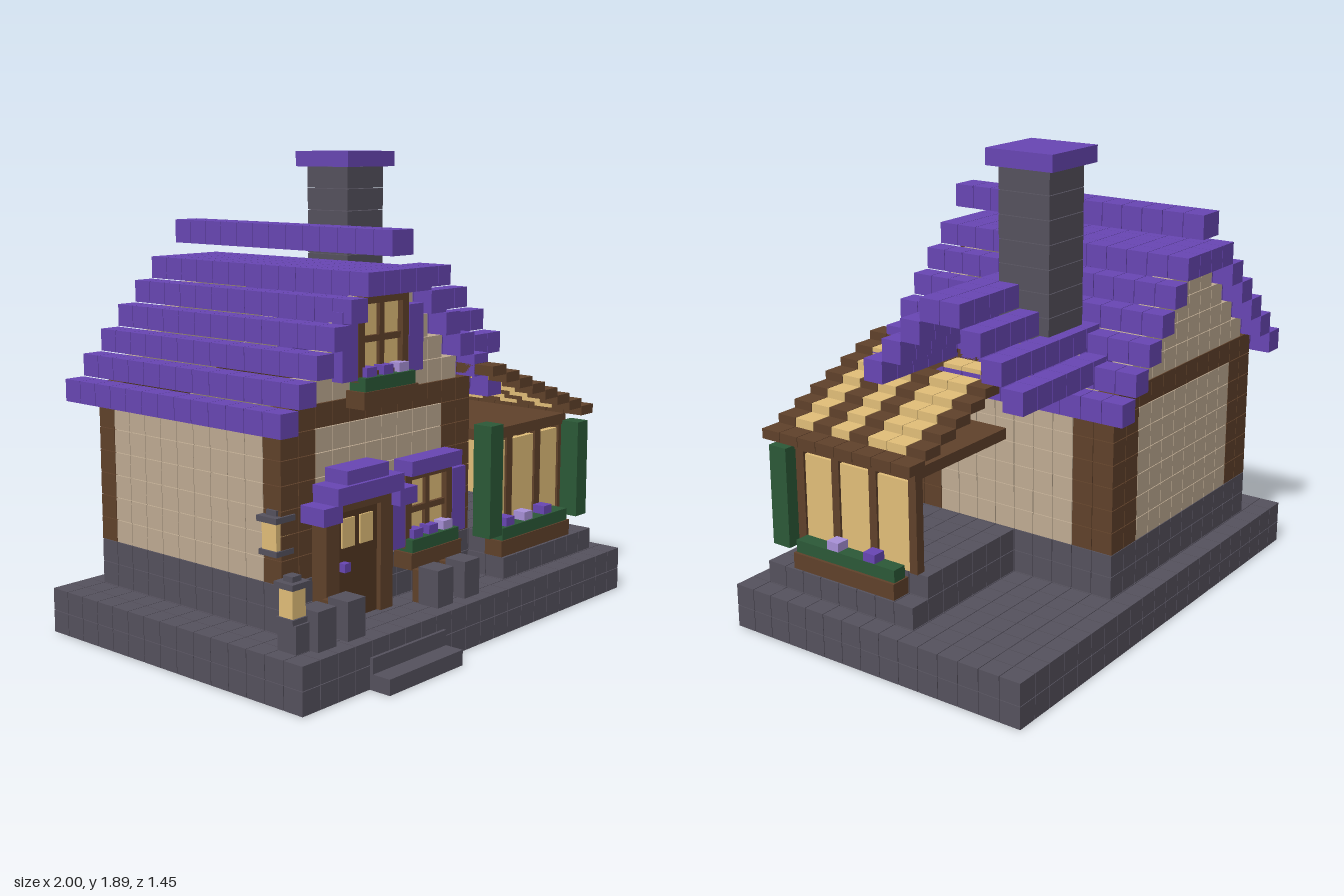
import * as THREE from 'three';
import { mergeGeometries } from 'three/addons/utils/BufferGeometryUtils.js';

const U = 1 / 11; // block size
const mat = (name, color) => {
  const m = new THREE.MeshStandardMaterial({ color });
  m.name = name;
  return m;
};

export function createModel() {
  const purple = mat('purple tile', 0x6947b5);
  const stone = mat('dark stone', 0x56525e);
  const timber = mat('brown timber', 0x61422b);
  const doorWood = mat('door wood', 0x543722);
  const plaster = mat('plaster', 0xc1ad94);
  const glow = mat('warm glass', 0xe4c07a);
  const green = mat('green paint', 0x2c5a38);
  const lilac = mat('lilac petal', 0xaa92da);

  const model = new THREE.Group();
  model.name = 'cottage';

  // Single box from its limits
  const boxGeo = (x0, x1, y0, y1, z0, z1) =>
    new THREE.BoxGeometry(x1 - x0, y1 - y0, z1 - z0)
      .translate((x0 + x1) / 2, (y0 + y1) / 2, (z0 + z1) / 2);
  const add = (name, m, geos) => {
    const mesh = new THREE.Mesh(geos.length > 1 ? mergeGeometries(geos) : geos[0], m);
    mesh.name = name;
    model.add(mesh);
  };
  const box = (name, m, ...b) => add(name, m, [boxGeo(...b)]);

  // Block rows in grid cells [i0,i1,j0,j1,k0,k1], with fine seams
  const g = 0.0014;
  const blocks = (name, m, runs) => {
    const geos = [];
    for (const [i0, i1, j0, j1, k0, k1] of runs)
      for (let i = i0; i < i1; i++)
        for (let j = j0; j < j1; j++)
          for (let k = k0; k < k1; k++) {
            const x = (i - 11) * U, y = j * U, z = (k - 8) * U;
            geos.push(boxGeo(x + g, x + U - g, y + g, y + U - g, z + g, z + U - g));
          }
    add(name, m, geos);
  };
  // One-block-wide rectangular ring of runs
  const ring = (i0, i1, j0, j1, k0, k1) => [
    [i0, i1, j0, j1, k0, k0 + 1], [i0, i1, j0, j1, k1 - 1, k1],
    [i0, i0 + 1, j0, j1, k0 + 1, k1 - 1], [i1 - 1, i1, j0, j1, k0 + 1, k1 - 1]];

  // Ground slab on a hollow plinth, steps and foundations
  blocks('groundSlab', stone, [[0, 22, 1, 2, 0, 15]]);
  blocks('plinthRim', stone, ring(0, 22, 0, 1, 0, 15));
  blocks('sunroomFooting', stone, ring(14, 21, 0, 1, 6, 14));
  box('lowerStep', stone, -0.65, -0.23, 0, 0.06, 0.6, 0.727);
  box('upperStep', stone, -0.65, -0.23, 0.06, 0.12, 0.6, 0.648);
  blocks('houseFoundation', stone, ring(2, 14, 2, 4, 1, 12));
  blocks('sunroomFoundation', stone, [[14, 21, 2, 3, 6, 14], [14, 20, 3, 4, 6, 13]]);

  // Walls: timber corners and beams, plaster infill, stepped gables
  blocks('cornerPosts', timber, [
    [2, 4, 4, 10, 1, 2], [12, 14, 4, 10, 1, 2], [2, 4, 4, 10, 11, 12], [12, 14, 4, 10, 11, 12],
    [13, 14, 4, 10, 2, 3], [13, 14, 4, 10, 10, 11]]);
  blocks('gableBeams', timber, [[2, 14, 10, 11, 1, 2], [2, 14, 10, 11, 11, 12]]);
  blocks('plasterWalls', plaster, [[4, 12, 4, 10, 1, 2], [4, 12, 4, 10, 11, 12],
    [2, 3, 4, 10, 2, 11], [13, 14, 4, 10, 3, 10]]);
  const gables = [];
  for (let r = 1; r < 6; r++)
    for (const k of [1, 11]) gables.push([2 + r, 14 - r, 10 + r, 11 + r, k, k + 1]);
  blocks('gableWalls', plaster, gables);

  // Main roof: stepped rows with a raised ridge
  const roof = [];
  for (let r = 0; r < 6; r++)
    for (const i of [1 + r, 14 - r]) roof.push([i, i + 1, 10.12 + r, 11.1 + r, 0, 13]);
  roof.push([7, 9, 15.12, 16.1, 0, 13]);
  blocks('mainRoof', purple, roof);
  const ridge = [];
  for (let k = 0; k < 13; k++)
    ridge.push(boxGeo(-0.32, -0.2, 1.515, 1.61, (k - 8) * U + g, (k - 7) * U - g));
  add('roofRidge', purple, ridge);

  // Side roof across the main one
  const sideRoof = [];
  for (let r = 0; r < 4; r++)
    for (const k of [2 + r, 9 - r]) sideRoof.push([12, 19, 11.33 + r, 12.3 + r, k, k + 1]);
  blocks('sideRoof', purple, sideRoof);

  // Chimney
  const courses = [];
  for (let n = 0; n < 7; n++)
    courses.push(boxGeo(0.14, 0.365, 1.19 + n * U + g, 1.19 + (n + 1) * U - g, -0.405, -0.18));
  add('chimney', stone, courses);
  box('chimneyCap', purple, 0.105, 0.4, 1.826, 1.89, -0.44, -0.145);

  // Sunroom roof: thin stepped slats, alternately timber and glass
  const slats = [], lights = [];
  for (let n = 0; n < 8; n++)
    for (let k = 6; k < 14; k++) {
      const x = (2 + n) * U, y = 1.022 - n * 0.0345, z = (k - 8) * U;
      const lit = n > 0 && n < 7 && [7, 8, 10, 12].includes(k);
      (lit ? lights : slats).push(boxGeo(x + g, x + U - g, y, y + 0.04, z + g, z + U - g));
    }
  add('sunroomRoofSlats', timber, slats);
  add('sunroomRoofLights', glow, lights);

  // Sunroom: glass on the front and outer side, open back, flat timber ceiling
  add('sunroomGlass', glow, [
    boxGeo(0.273, 0.82, 0.364, 0.72, 0.42, 0.44),
    boxGeo(0.80, 0.82, 0.364, 0.72, -0.115, 0.42)]);
  const frame = [boxGeo(0.273, 0.835, 0.735, 0.78, -0.145, 0.455)];
  for (const x of [0.435, 0.635, 0.81]) frame.push(boxGeo(x - 0.02, x + 0.02, 0.364, 0.735, 0.41, 0.45));
  for (const z of [0.25, 0.065, -0.125]) frame.push(boxGeo(0.79, 0.83, 0.364, 0.735, z - 0.018, z + 0.018));
  add('sunroomFrame', timber, frame);
  box('tallGreenPost', green, 0.19, 0.272, 0.364, 0.82, 0.45, 0.535);
  box('shortGreenPost', green, 0.81, 0.885, 0.34, 0.75, 0.45, 0.535);

  // Planter: timber box, green rim and flowers given as [fraction along, colour]
  const planter = (name, x0, x1, y, z0, z1, flowers, alongZ) => {
    box(name + 'Box', timber, x0, x1, y - 0.065, y, z0, z1);
    const s = 0.012, top = y + 0.05;
    box(name + 'Rim', green, x0 + s, x1 - s, y, top, z0 + s / 2, z1 - s / 2);
    for (const [t, m] of flowers) {
      const x = alongZ ? (x0 + x1) / 2 : x0 + (x1 - x0) * t;
      const z = alongZ ? z0 + (z1 - z0) * t : (z0 + z1) / 2;
      box(name + 'Flower', m, x - 0.028, x + 0.028, top, top + 0.035, z - 0.028, z + 0.028);
    }
  };
  planter('sunroomFrontPlanter', 0.265, 0.75, 0.34, 0.456, 0.54,
    [[0.16, purple], [0.42, lilac], [0.71, purple]], false);
  planter('sunroomSidePlanter', 0.82, 0.905, 0.34, -0.09, 0.41, [[0.26, purple], [0.62, lilac]], true);

  // Four-pane window with shutters and planter
  const W = 0.364; // front wall plane
  const gridWindow = (name, cx, y0, y1, shutterTop, planterY) => {
    const h = 0.143, b = 0.035, ym = (y0 + y1) / 2;
    box(name + 'Glass', glow, cx - h + 0.01, cx + h - 0.01, y0 + 0.01, y1 - 0.01, W, W + 0.025);
    const bars = [boxGeo(cx - h, cx + h, y0, y0 + b, W, W + 0.05), boxGeo(cx - h, cx + h, y1 - b + 0.01, y1, W, W + 0.05),
      boxGeo(cx - 0.013, cx + 0.013, y0, y1, W, W + 0.04), boxGeo(cx - h, cx + h, ym - 0.012, ym + 0.012, W, W + 0.04)];
    for (const s of [-1, 1]) {
      const a = cx + s * h, c = a - s * b;
      bars.push(boxGeo(Math.min(a, c), Math.max(a, c), y0, y1, W, W + 0.05));
      const m = cx + s * (h + 0.045);
      box(name + 'Shutter', purple, m - 0.042, m + 0.042, y0 + 0.01, shutterTop, W, W + 0.05);
    }
    add(name + 'Frame', timber, bars);
    planter(name + 'Planter', cx - 0.155, cx + 0.155, planterY, W, W + 0.09,
      [[0.2, purple], [0.5, purple], [0.79, lilac]], false);
  };
  gridWindow('lowerWindow', -0.045, 0.38, 0.67, 0.65, 0.37);
  gridWindow('upperWindow', -0.32, 1.06, 1.37, 1.325, 1.03);
  box('lowerWindowLintel', purple, -0.2, 0.11, 0.672, 0.73, W, W + 0.09);

  // Front door with frame, panes, knob and stepped canopy
  add('doorFrame', timber, [boxGeo(-0.66, -0.59, 0.182, 0.64, W, 0.435),
    boxGeo(-0.36, -0.29, 0.182, 0.64, W, 0.435), boxGeo(-0.59, -0.36, 0.6, 0.64, W, 0.435)]);
  box('door', doorWood, -0.59, -0.36, 0.182, 0.6, W, 0.415);
  for (const x of [-0.56, -0.46]) box('doorPane', glow, x, x + 0.07, 0.46, 0.57, 0.415, 0.422);
  box('doorKnob', purple, -0.572, -0.54, 0.375, 0.408, 0.415, 0.445);
  add('doorCanopy', purple, [boxGeo(-0.655, -0.29, 0.645, 0.71, W, 0.49), boxGeo(-0.59, -0.36, 0.71, 0.762, W, 0.475),
    boxGeo(-0.72, -0.62, 0.58, 0.645, W, 0.48), boxGeo(-0.3, -0.2, 0.58, 0.645, W, 0.48)]);

  // Stone bollards beside the path, with timber backs
  for (const x of [-0.82, -0.665, -0.155, 0.01]) {
    box('bollard', stone, x - 0.047, x + 0.047, 0.182, 0.328, 0.49, 0.585);
    box('bollardBack', timber, x - 0.04, x + 0.04, 0.182, 0.31, 0.455, 0.49);
  }

  // Lanterns: stone base and caps around a glowing core
  const lantern = (name, x, y, z, r, h) => {
    box(name + 'Base', stone, x - r, x + r, y, y + 0.02, z - r, z + r);
    box(name + 'Light', glow, x - r * 0.8, x + r * 0.8, y + 0.02, y + h, z - r * 0.8, z + r * 0.8);
    box(name + 'Cap', stone, x - r * 1.1, x + r * 1.1, y + h, y + h + 0.022, z - r * 1.1, z + r * 1.1);
    box(name + 'Finial', stone, x - r * 0.55, x + r * 0.55, y + h + 0.022, y + h + 0.042, z - r * 0.55, z + r * 0.55);
  };
  box('lanternPedestal', stone, -0.935, -0.86, 0.182, 0.285, 0.455, 0.545);
  lantern('groundLantern', -0.9, 0.285, 0.495, 0.041, 0.125);
  lantern('wallLantern', -0.802, 0.475, 0.322, 0.045, 0.122);

  return model;
}
